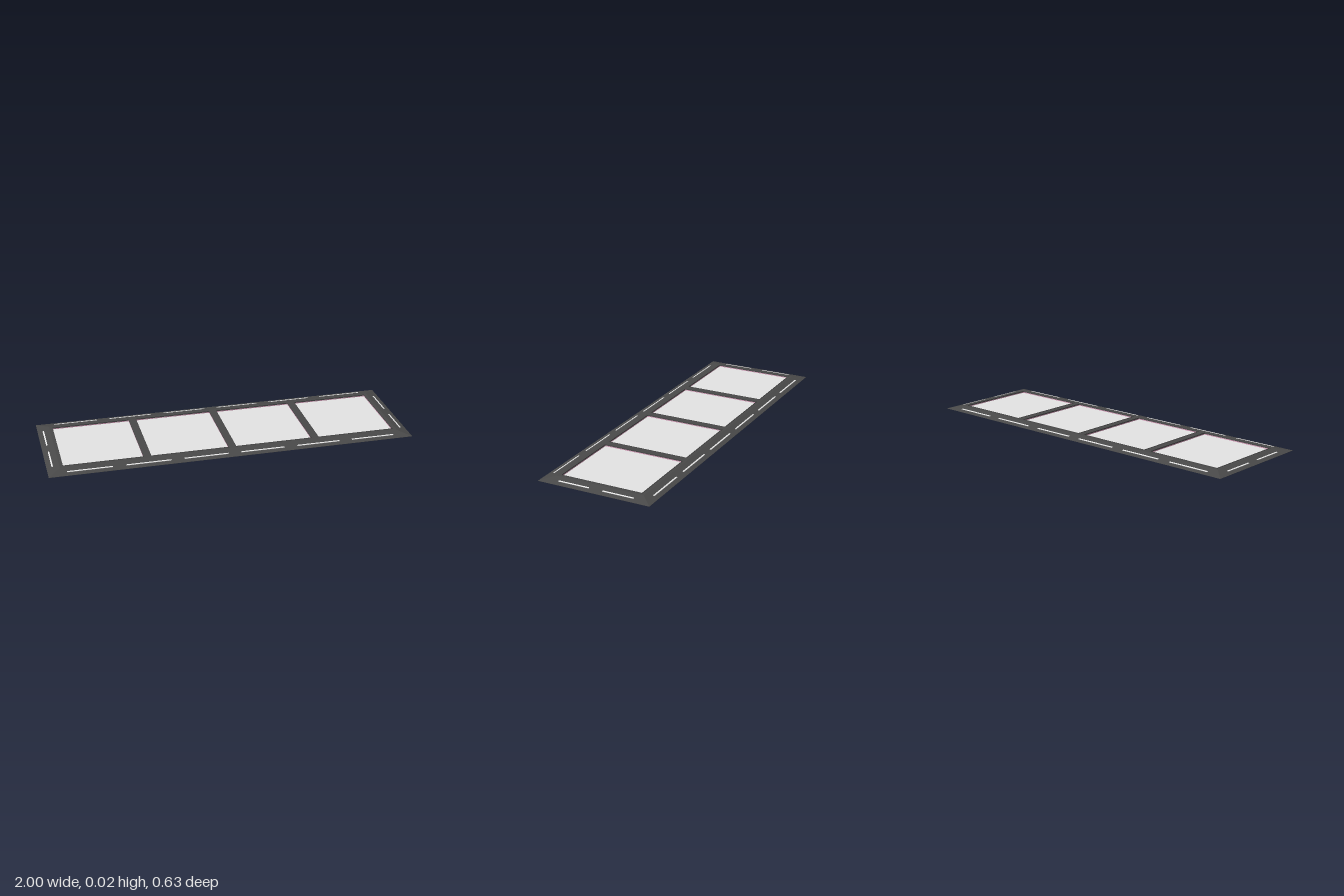
import * as THREE from 'three';

const mat = (name, color) => {
  const m = new THREE.MeshStandardMaterial({ color });
  m.name = name;
  return m;
};

export function createModel() {
  const model = new THREE.Group();
  const frameMat = mat('dark grey frame', 0x494949);
  const panelMat = mat('pale grey glass', 0xe4e4e4);
  const lightMat = mat('white light', 0xffffff);
  const baseMat = mat('mauve base', 0xd8a0bc);

  const add = (name, geometry, material) => {
    const mesh = new THREE.Mesh(geometry, material);
    mesh.name = name;
    model.add(mesh);
    return mesh;
  };
  // Box given by its limits on each axis
  const block = (name, x0, x1, y0, y1, z0, z1, material) =>
    add(name, new THREE.BoxGeometry(x1 - x0, y1 - y0, z1 - z0), material)
      .position.set((x0 + x1) / 2, (y0 + y1) / 2, (z0 + z1) / 2);

  // Frame: rectangular loops from the underside rim, over the bevel, to the deck opening
  const loops = [
    [0.965, 0, 0.283], [1, 0, 0.317], [1, 0.001, 0.317],
    [0.934, 0.016, 0.25], [0.916, 0.016, 0.231],
  ];
  const corners = [[-1, 1], [1, 1], [1, -1], [-1, -1]];
  const pos = [];
  const point = ([x, y, z], k) => [x * corners[k % 4][0], y, z * corners[k % 4][1]];
  for (let i = 0; i < loops.length - 1; i++) {
    for (let c = 0; c < 4; c++) {
      const a = point(loops[i], c), b = point(loops[i], c + 1);
      const d = point(loops[i + 1], c), e = point(loops[i + 1], c + 1);
      pos.push(...a, ...b, ...e, ...a, ...e, ...d);
    }
  }
  const frame = new THREE.BufferGeometry();
  frame.setAttribute('position', new THREE.Float32BufferAttribute(pos, 3));
  frame.computeVertexNormals();
  add('frame', frame, frameMat);

  // Underside plate inside the rim
  block('basePlate', -0.967, 0.967, 0.0002, 0.0012, -0.285, 0.285, baseMat);

  // Cross bars between the panes
  for (const x of [-0.466, 0, 0.466]) {
    block('crossBar', x - 0.02, x + 0.02, 0.002, 0.016, -0.231, 0.231, frameMat);
  }

  // Four sunken panes, each with a mauve lining below a dark raised lip
  const halfZ = 0.23, t = 0.003;
  const ring = (name, x0, x1, y0, y1, material) => {
    block(name, x0 - t, x0, y0, y1, -halfZ, halfZ, material);
    block(name, x1, x1 + t, y0, y1, -halfZ, halfZ, material);
    block(name, x0 - t, x1 + t, y0, y1, halfZ, halfZ + t, material);
    block(name, x0 - t, x1 + t, y0, y1, -halfZ - t, -halfZ, material);
  };
  for (const [x0, x1] of [[-0.915, -0.487], [-0.445, -0.021], [0.021, 0.445], [0.487, 0.915]]) {
    block('pane', x0, x1, 0.004, 0.007, -halfZ, halfZ, panelMat);
    ring('paneLining', x0, x1, 0.004, 0.012, baseMat);
    ring('paneLip', x0, x1, 0.012, 0.018, frameMat);
  }

  // Light strips standing slightly proud of the bevels
  const tilt = Math.atan(0.015 / 0.067);
  for (const s of [-1, 1]) {
    for (let i = 0; i < 6; i++) {
      const strip = add('longSideLight', new THREE.BoxGeometry(0.24, 0.003, 0.008), lightMat);
      strip.position.set((i - 2.5) * 0.312, 0.0084, s * 0.287);
      strip.rotation.x = s * tilt;
    }
    for (const z of [-0.126, 0.126]) {
      const strip = add('endLight', new THREE.BoxGeometry(0.008, 0.003, 0.176), lightMat);
      strip.position.set(s * 0.969, 0.0084, z);
      strip.rotation.z = -s * tilt;
    }
  }
  return model;
}
